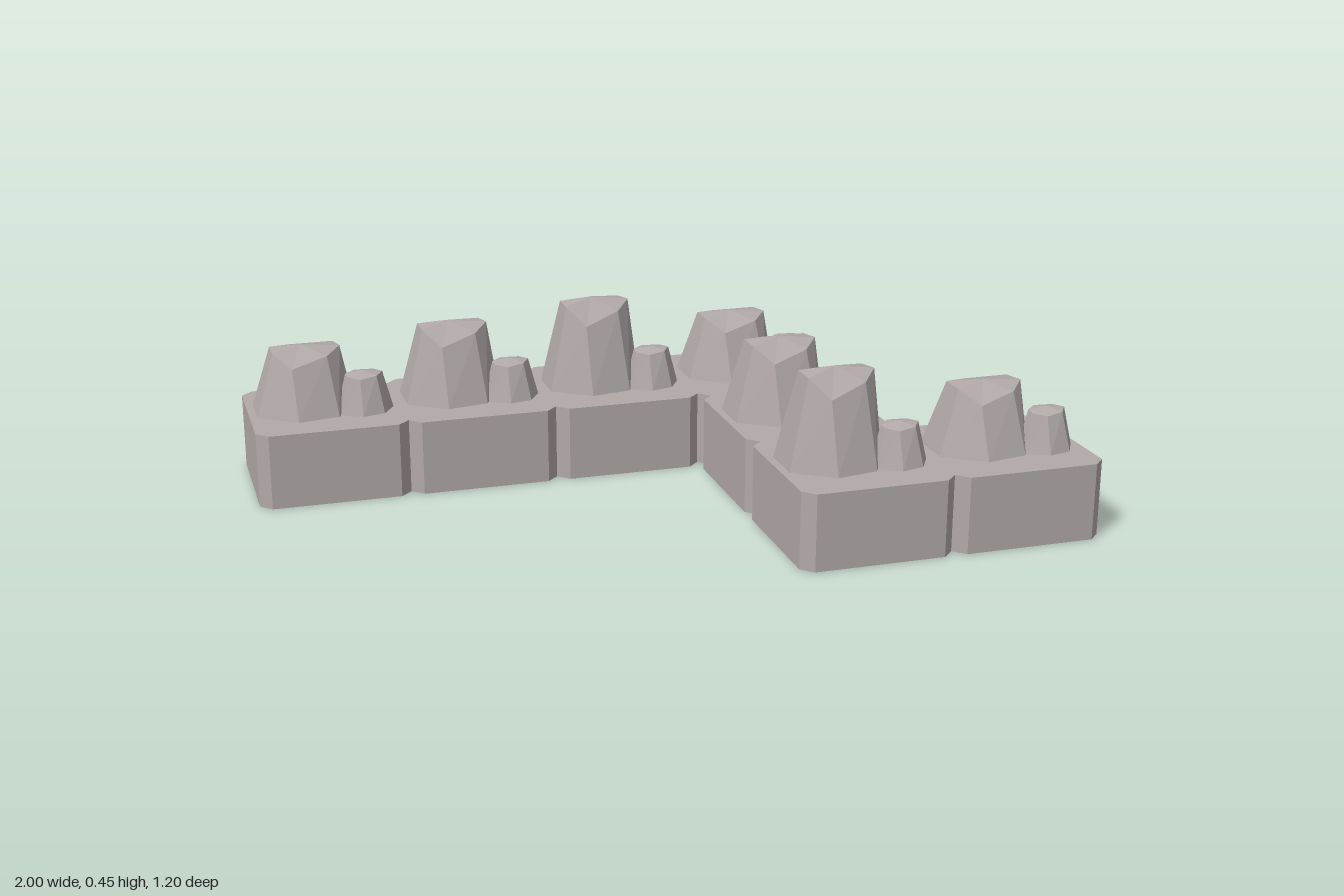
import * as THREE from 'three';

// Faceted boulder: base ring [x, z], shoulder ring [x, z, height] and a peak, heights from 0 to 1
function rockGeometry(base, shoulder, peak, height) {
  const p = [];
  const low = base.map(([x, z]) => [x, 0, z]);
  const high = shoulder.map(([x, z, h]) => [x, h * height, z]);
  const top = [peak[0], height, peak[1]];
  low.forEach((b, i) => {
    const j = (i + 1) % low.length;
    p.push(...low[j], ...b, ...high[i]);
    p.push(...low[j], ...high[i], ...high[j]);
    p.push(...high[j], ...high[i], ...top);
  });
  const g = new THREE.BufferGeometry();
  g.setAttribute('position', new THREE.Float32BufferAttribute(p, 3));
  g.computeVertexNormals();
  return g;
}

// Square slab with clipped corners
function slabGeometry(half, clip, height) {
  const a = half, c = half - clip;
  const shape = new THREE.Shape(
    [[a, -c], [a, c], [c, a], [-c, a], [-a, c], [-a, -c], [-c, -a], [c, -a]]
      .map(([x, y]) => new THREE.Vector2(x, y)));
  return new THREE.ExtrudeGeometry(shape, { depth: height, bevelEnabled: false }).rotateX(-Math.PI / 2);
}

export function createModel() {
  const group = new THREE.Group();
  group.name = 'rockyPath';
  const stone = new THREE.MeshStandardMaterial({ color: 0xb1a9a8, flatShading: true });
  stone.name = 'warm grey stone';

  const slabHeight = 0.2;
  const slab = slabGeometry(0.2, 0.03, slabHeight);

  // Large boulder, in three heights
  const bigBase = [[-0.18, -0.08], [-0.085, -0.115], [0.04, -0.095], [0.085, -0.015], [0.03, 0.09], [-0.08, 0.11], [-0.18, 0.04]];
  const bigTop = [[-0.13, -0.05, 0.92], [-0.075, -0.058, 0.92], [0.04, -0.058, 0.92], [0.05, 0, 0.94],
    [0.01, 0.045, 0.86], [-0.085, 0.065, 0.73], [-0.13, 0.02, 0.92]];
  const bigRocks = [0.182, 0.217, 0.252].map(h => rockGeometry(bigBase, bigTop, [-0.055, 0], h));

  // Small boulder leaning against the large one
  const smallBase = [[0.03, 0.04], [0.07, -0.02], [0.145, -0.005], [0.182, 0.04], [0.15, 0.095], [0.09, 0.11], [0.035, 0.08]];
  const smallTop = [[0.056, 0.04, 0.93], [0.085, 0.01, 0.93], [0.135, 0.015, 0.93], [0.155, 0.042, 0.93],
    [0.135, 0.072, 0.9], [0.09, 0.08, 0.85], [0.058, 0.062, 0.9]];
  const smallRock = rockGeometry(smallBase, smallTop, [0.105, 0.045], 0.11);

  // Slabs along the zigzag path, each carrying a pair of boulders
  const cells = [[-0.8, -0.4], [-0.4, -0.4], [0, -0.4], [0.4, -0.4], [0.4, 0], [0.4, 0.4], [0.8, 0.4]];
  cells.forEach(([x, z], i) => {
    const tile = new THREE.Group();
    tile.name = `tile${i + 1}`;
    tile.position.set(x, 0, z);
    const add = (name, geometry, y) => {
      const mesh = new THREE.Mesh(geometry, stone);
      mesh.name = name;
      mesh.position.y = y;
      tile.add(mesh);
    };
    add('slab', slab, 0);
    add('largeRock', bigRocks[i % 3], slabHeight);
    add('smallRock', smallRock, slabHeight);
    group.add(tile);
  });
  return group;
}
